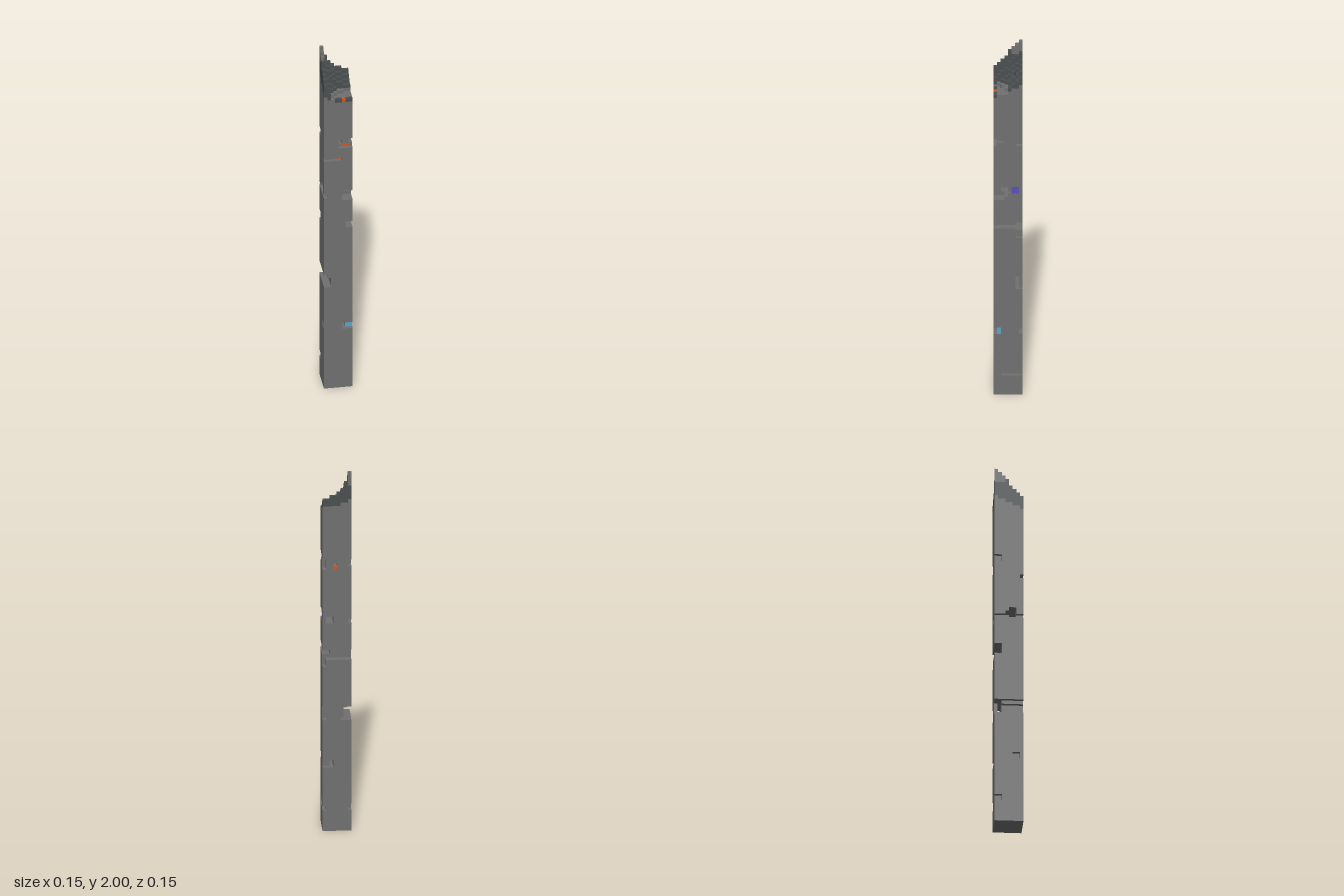
import * as THREE from 'three';

const N = 8, CELL = 2 / 107;

const material = (name, hex) => {
  const m = new THREE.MeshStandardMaterial({ color: hex });
  m.name = name;
  return m;
};

const between = (v, from, to) => v >= from && v <= to;
const within = ([x0, x1, y0, y1, z0, z1], i, j, k) =>
  between(i, x0, x1) && between(j, y0, y1) && between(k, z0, z1);

// Broken top: a curved fall to the right and a straight fall to the front
const topOf = (i, k) => Math.max(94, Math.round(99 + 8 * Math.exp(-i / 2)) - Math.round(k * 8 / 7));

// Notches running from front to back: x range, y range, in cells
const GROOVES_Z = [
  [5, 5, 19, 20], [0, 1, 33, 35], [0, 0, 36, 36], [6, 7, 52, 53],
  [5, 6, 62, 63], [0, 0, 62, 62], [4, 4, 79, 79],
];

// Notches running from side to side: y range, z range
const GROOVES_X = [[33, 36, 1, 1], [51, 53, 0, 1], [62, 64, 4, 5], [63, 63, 3, 3]];

// Surface chips: x range, y range, z range
const CHIPS = [
  [7, 7, 6, 6, 0, 5], [7, 7, 7, 8, 0, 0], [7, 7, 6, 8, 3, 3], [0, 0, 6, 7, 0, 1],
  [5, 7, 19, 20, 7, 7], [6, 7, 19, 20, 0, 0], [0, 0, 19, 20, 5, 6],
  [0, 2, 33, 36, 0, 0], [7, 7, 33, 36, 0, 0], [7, 7, 49, 50, 0, 1],
  [5, 7, 61, 63, 5, 7], [0, 4, 74, 74, 7, 7], [4, 7, 78, 80, 7, 7],
  [7, 7, 79, 80, 5, 6], [7, 7, 78, 80, 0, 1], [0, 0, 79, 80, 0, 1],
];

// Coloured blocks inside the chips
const SPOTS = {
  ember: [[5, 5, 93, 93, 7, 7], [4, 4, 74, 74, 6, 6], [5, 6, 78, 78, 6, 6], [4, 4, 78, 78, 0, 0]],
  crystal: [[6, 7, 19, 20, 6, 6]],
  violet: [[7, 7, 63, 64, 1, 2]],
};

const solid = (i, j, k) =>
  between(i, 0, N - 1) && between(k, 0, N - 1) && j >= 0 && j < topOf(i, k) &&
  !GROOVES_Z.some(([x0, x1, y0, y1]) => between(i, x0, x1) && between(j, y0, y1)) &&
  !GROOVES_X.some(([y0, y1, z0, z1]) => between(j, y0, y1) && between(k, z0, z1)) &&
  !CHIPS.some((chip) => within(chip, i, j, k));

function partAt(i, j, k) {
  for (const name in SPOTS) if (SPOTS[name].some((spot) => within(spot, i, j, k))) return name;
  if (i === 0 && k < 3 && j >= 103) return 'column';
  const capEdge = 92.5 + 4 * (1 - k / 7) + 2 * Math.max(0, 1 - i / 4);
  return j >= capEdge ? 'cap' : 'column';
}

// Adds the block face that looks along one axis
function addFace(out, cell, axis, sign) {
  const u = (axis + 1) % 3, v = (axis + 2) % 3;
  const corner = (a, b) => {
    const p = [...cell];
    p[axis] += sign > 0 ? 1 : 0;
    p[u] += a;
    p[v] += b;
    return [(p[0] - N / 2) * CELL, p[1] * CELL, (p[2] - N / 2) * CELL];
  };
  const ring = [corner(0, 0), corner(1, 0), corner(1, 1), corner(0, 1)];
  if (sign < 0) ring.reverse();
  for (const n of [0, 1, 2, 0, 2, 3]) out.push(...ring[n]);
}

export function createModel() {
  const group = new THREE.Group();
  group.name = 'brokenPillar';
  const materials = {
    column: material('stone grey', 0x707070),
    cap: material('dark slate', 0x4a4f4f),
    ember: material('ember orange', 0xd2561c),
    crystal: material('pale blue', 0x5aa6c8),
    violet: material('violet', 0x5a50b8),
  };
  const faces = { column: [], cap: [], ember: [], crystal: [], violet: [] };

  // Skin every exposed block face
  for (let i = 0; i < N; i++) for (let k = 0; k < N; k++) for (let j = 0; j < topOf(i, k); j++) {
    if (!solid(i, j, k)) continue;
    const out = faces[partAt(i, j, k)];
    for (let axis = 0; axis < 3; axis++) for (const sign of [-1, 1]) {
      const next = [i, j, k];
      next[axis] += sign;
      if (!solid(...next)) addFace(out, [i, j, k], axis, sign);
    }
  }

  // One mesh for each coloured part
  for (const name in faces) {
    const geometry = new THREE.BufferGeometry();
    geometry.setAttribute('position', new THREE.Float32BufferAttribute(faces[name], 3));
    geometry.computeVertexNormals();
    const mesh = new THREE.Mesh(geometry, materials[name]);
    mesh.name = name;
    group.add(mesh);
  }
  return group;
}
